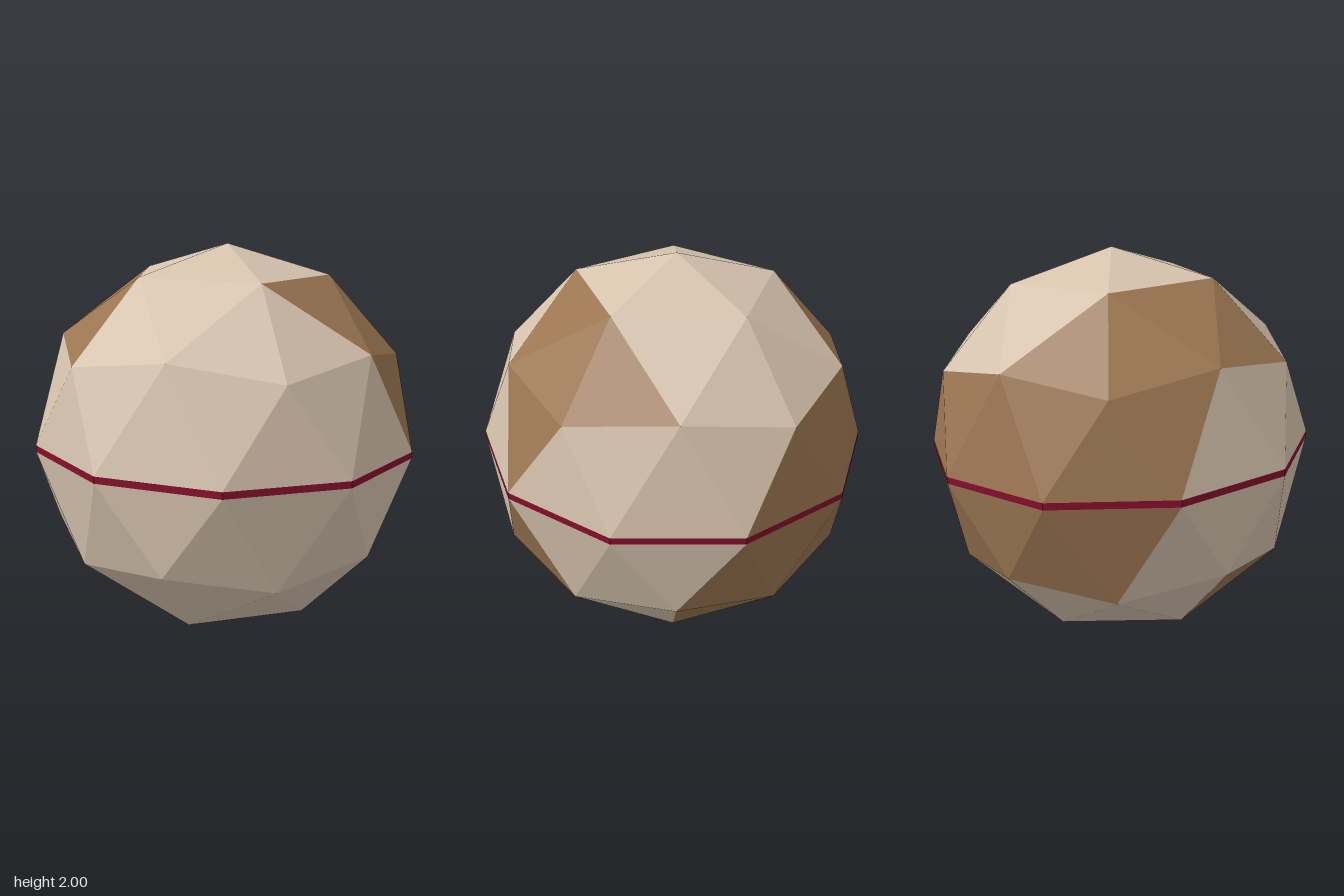
import * as THREE from 'three';

const RADIUS = 0.983;  // shell radius
const HALF_GAP = 0.017; // half height of the middle band
const START = 39.5;     // azimuth of the first upper corner, degrees

// Point on a shell: ring name and azimuth step (18 degrees each)
const RINGS = {
  pole: [0, 1],
  inner: [0.5257, 0.8507],
  mid: [0.8507, 0.5257],
  corner: [0.8944, 0.4472],
  rim: [1, 0],
};
function point(ring, step, side) {
  const [r, y] = RINGS[ring];
  const a = THREE.MathUtils.degToRad(START + 18 * step);
  return new THREE.Vector3(
    RADIUS * r * Math.cos(a), side * (RADIUS * y + HALF_GAP), RADIUS * r * Math.sin(a));
}

// The eight facets of one fifth of a shell, as [ring, step offset] corners
const FACETS = [
  [['pole', 0], ['inner', 0], ['inner', 4]],
  [['inner', 0], ['mid', 2], ['inner', 4]],
  [['inner', 0], ['corner', 0], ['mid', 2]],
  [['inner', 0], ['mid', -2], ['corner', 0]],
  [['corner', 0], ['rim', -1], ['rim', 1]],
  [['mid', 2], ['rim', 1], ['rim', 3]],
  [['corner', 0], ['rim', 1], ['mid', 2]],
  [['mid', -2], ['rim', -1], ['corner', 0]],
];

// Brown facets of each fifth
const UPPER_PATCHES = [[1, 2, 3, 6], [], [1, 2], [2, 3, 4, 5, 6, 7], [4, 7]];
const LOWER_PATCHES = [[3, 7], [1], [3, 5], [4, 5, 6, 7], [3, 7]];

function shellGeometry(side, patches, wantPatch) {
  const points = [];
  const n = new THREE.Vector3();
  for (let k = 0; k < 5; k++) {
    const step = 4 * k + (side < 0 ? 2 : 0);
    FACETS.forEach((facet, i) => {
      if (patches[k].includes(i) !== wantPatch) return;
      const [a, b, c] = facet.map(([ring, d]) => point(ring, step + d, side));
      // Keep every facet facing outward
      n.crossVectors(b.clone().sub(a), c.clone().sub(a));
      const outward = n.dot(a.clone().add(b).add(c)) > 0;
      points.push(a, ...(outward ? [b, c] : [c, b]));
    });
  }
  const geometry = new THREE.BufferGeometry().setFromPoints(points);
  geometry.computeVertexNormals();
  return geometry;
}

function material(name, color) {
  const m = new THREE.MeshStandardMaterial({ color, flatShading: true });
  m.name = name;
  return m;
}

export function createModel() {
  const cream = material('cream', 0xd6c3ae);
  const brown = material('brown', 0x9c7652);
  const crimson = material('crimson', 0x850f2c);

  const model = new THREE.Group();
  model.name = 'facetedBall';
  const ball = new THREE.Group();
  ball.name = 'tiltedBall';
  ball.position.y = 1;
  ball.quaternion.setFromUnitVectors(
    new THREE.Vector3(0, 1, 0), new THREE.Vector3(0.033, 1, -0.015).normalize());
  model.add(ball);

  const add = (name, geometry, mat) => {
    const mesh = new THREE.Mesh(geometry, mat);
    mesh.name = name;
    ball.add(mesh);
  };

  // Two half shells, each with its brown patches
  for (const [name, side, patches] of [['upper', 1, UPPER_PATCHES], ['lower', -1, LOWER_PATCHES]]) {
    add(name + 'Shell', shellGeometry(side, patches, false), cream);
    add(name + 'Patches', shellGeometry(side, patches, true), brown);
  }

  // Ten-sided band between the halves
  add('middleBand', new THREE.CylinderGeometry(
    RADIUS, RADIUS, 2 * HALF_GAP, 10, 1, true,
    THREE.MathUtils.degToRad(90 - START - 18)), crimson);

  return model;
}
